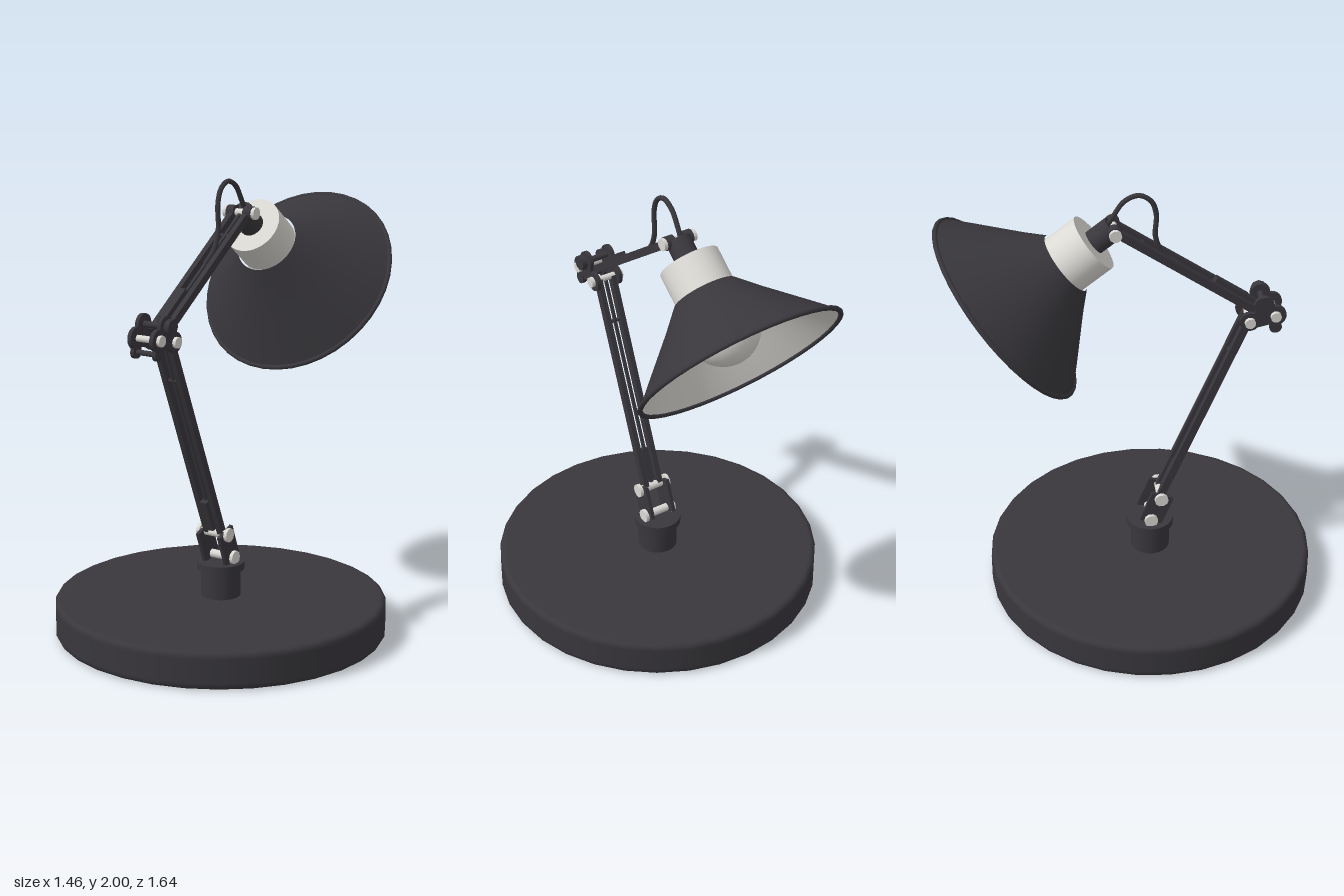
import * as THREE from 'three';

const dark = new THREE.MeshStandardMaterial({ color: 0x39373c });
dark.name = 'charcoal paint';
const light = new THREE.MeshStandardMaterial({ color: 0xdbd9d4 });
light.name = 'pale enamel';

// side-plane points are written as [z, y]
const lerp = (a, b, t) => [a[0] + (b[0] - a[0]) * t, a[1] + (b[1] - a[1]) * t];

function add(parent, name, geometry, material) {
  const mesh = new THREE.Mesh(geometry, material);
  mesh.name = name;
  parent.add(mesh);
  return mesh;
}

// flat bar between two side-plane points
function bar(parent, name, a, b, x, width, depth, material = dark) {
  const dz = b[0] - a[0], dy = b[1] - a[1];
  const m = add(parent, name, new THREE.BoxGeometry(width, depth, Math.hypot(dz, dy)), material);
  m.position.set(x, (a[1] + b[1]) / 2, (a[0] + b[0]) / 2);
  m.rotation.x = -Math.atan2(dy, dz);
  return m;
}

// round disc or pin lying across the arm
function pin(parent, name, p, x0, x1, r, material = light, sides = 12) {
  const g = new THREE.CylinderGeometry(r, r, Math.abs(x1 - x0), sides).rotateZ(Math.PI / 2);
  const m = add(parent, name, g, material);
  m.position.set((x0 + x1) / 2, p[1], p[0]);
  return m;
}

// through bolt with a head on both sides
function bolt(parent, p, r) {
  pin(parent, 'boltShaft', p, -0.07, 0.07, r * 0.6);
  for (const s of [-1, 1]) pin(parent, 'boltHead', p, s * 0.064, s * 0.08, r, light, 10);
}

function lathe(parent, name, points, material, segments = 32) {
  return add(parent, name, new THREE.LatheGeometry(points.map(p => new THREE.Vector2(...p)), segments), material);
}

function cylinder(parent, name, r, y0, y1, material, segments = 32) {
  const m = add(parent, name, new THREE.CylinderGeometry(r, r, y1 - y0, segments), material);
  m.position.y = (y0 + y1) / 2;
  return m;
}

export function createModel() {
  const lamp = new THREE.Group();
  lamp.name = 'deskLamp';

  // weighted base and swivel post
  const base = new THREE.Group();
  base.name = 'base';
  base.position.z = 0.085;
  lamp.add(base);
  lathe(base, 'baseDisc', [[0, 0], [0.705, 0], [0.715, 0.001], [0.725, 0.006], [0.732, 0.018], [0.732, 0.03],
    [0.732, 0.135], [0.732, 0.147], [0.725, 0.158], [0.715, 0.163], [0.705, 0.164], [0, 0.164]], dark);
  cylinder(base, 'post', 0.088, 0.16, 0.29, dark);
  cylinder(base, 'postFlange', 0.105, 0.286, 0.32, dark);

  // pivot positions
  const foot = [0.082, 0.345], hip = [0.128, 0.46];
  const elbow = [0.5, 1.38], elbowBack = [0.61, 1.404], knobAt = [0.56, 1.455], tail = [0.612, 1.346];
  const armStart = [0.53, 1.42], wrist = [-0.074, 1.845];

  // foot bracket
  const bracket = new THREE.Group();
  bracket.name = 'footBracket';
  lamp.add(bracket);
  for (const s of [-1, 1]) bar(bracket, 'bracketPlate', [0.08, 0.33], [0.135, 0.475], s * 0.056, 0.016, 0.104);
  bolt(bracket, foot, 0.031);
  bolt(bracket, hip, 0.031);

  // arms: two outer rods, a central rod and a sleeve at the lower end
  function arm(name, a, b, sleeveStart, sleeveEnd, offset) {
    const g = new THREE.Group();
    g.name = name;
    lamp.add(g);
    for (const s of [-1, 1]) bar(g, 'armRod', a, b, s * 0.036, 0.024, 0.034);
    bar(g, 'centreRod', a, b, 0, 0.013, 0.013);
    const sleeve = [sleeveStart, sleeveEnd].map(t => {
      const p = lerp(a, b, t);
      return [p[0] + offset[0], p[1] + offset[1]];
    });
    bar(g, 'springSleeve', sleeve[0], sleeve[1], 0, 0.034, 0.034);
    pin(g, 'crossPin', lerp(a, b, 0.8), -0.03, 0.03, 0.008, dark);
  }
  arm('lowerArm', hip, elbow, 0.02, 0.17, [0.014, 0.006]);
  arm('upperArm', armStart, wrist, 0.08, 0.31, [0.009, 0.013]);

  // elbow: lobed plates, bolts and a clamp knob
  const joint = new THREE.Group();
  joint.name = 'elbowJoint';
  lamp.add(joint);
  for (const s of [-1, 1]) {
    for (const [p, r] of [[elbow, 0.044], [elbowBack, 0.047], [knobAt, 0.044], [tail, 0.027]])
      pin(joint, 'elbowLobe', p, s * 0.046, s * 0.064, r, dark, 20);
    bar(joint, 'elbowPlate', elbow, elbowBack, s * 0.055, 0.017, 0.07);
    bar(joint, 'elbowPlate', knobAt, [0.555, 1.39], s * 0.055, 0.017, 0.075);
    bar(joint, 'elbowPlate', elbowBack, tail, s * 0.055, 0.017, 0.05);
  }
  bolt(joint, elbow, 0.024);
  bolt(joint, elbowBack, 0.024);
  pin(joint, 'clampShaft', knobAt, -0.064, 0.08, 0.014, dark);
  pin(joint, 'clampKnob', knobAt, 0.072, 0.096, 0.034, dark, 8);
  pin(joint, 'tailPin', tail, -0.06, 0.06, 0.012, dark);

  // wrist bolt
  for (const s of [-1, 1]) pin(lamp, 'wristLobe', wrist, s * 0.024, s * 0.062, 0.03, dark, 16);
  bolt(lamp, wrist, 0.027);

  // power cable looping over the wrist
  const cable = new THREE.CatmullRomCurve3([[0.2, 1.655], [0.13, 1.715], [0.1, 1.79], [0.102, 1.9], [0.08, 1.96],
    [0.03, 1.989], [-0.03, 1.965], [-0.075, 1.9], [-0.11, 1.84]].map(p => new THREE.Vector3(0, p[1], p[0])));
  add(lamp, 'cable', new THREE.TubeGeometry(cable, 48, 0.011, 8), dark);

  // head, built upright from the rim plane then tilted
  const head = new THREE.Group();
  head.name = 'lampHead';
  head.position.set(0, 1.49, -0.53);
  head.rotation.x = 0.909;
  lamp.add(head);
  lathe(head, 'shadeOuter', [[0.454, 0], [0.376, 0.08], [0.297, 0.16], [0.218, 0.24], [0.14, 0.325]], dark, 40);
  lathe(head, 'shadeInner', [[0.128, 0.318], [0.206, 0.234], [0.286, 0.154], [0.365, 0.074], [0.444, 0]], light, 40);
  add(head, 'shadeRim', new THREE.TorusGeometry(0.451, 0.011, 8, 40).rotateX(Math.PI / 2), dark);
  cylinder(head, 'socket', 0.131, 0.312, 0.473, light);
  cylinder(head, 'neck', 0.054, 0.46, 0.575, dark, 20);
  cylinder(head, 'bulbCollar', 0.085, 0.24, 0.32, light, 24);
  add(head, 'bulb', new THREE.SphereGeometry(0.155, 28, 18), light).position.y = 0.16;

  return lamp;
}
